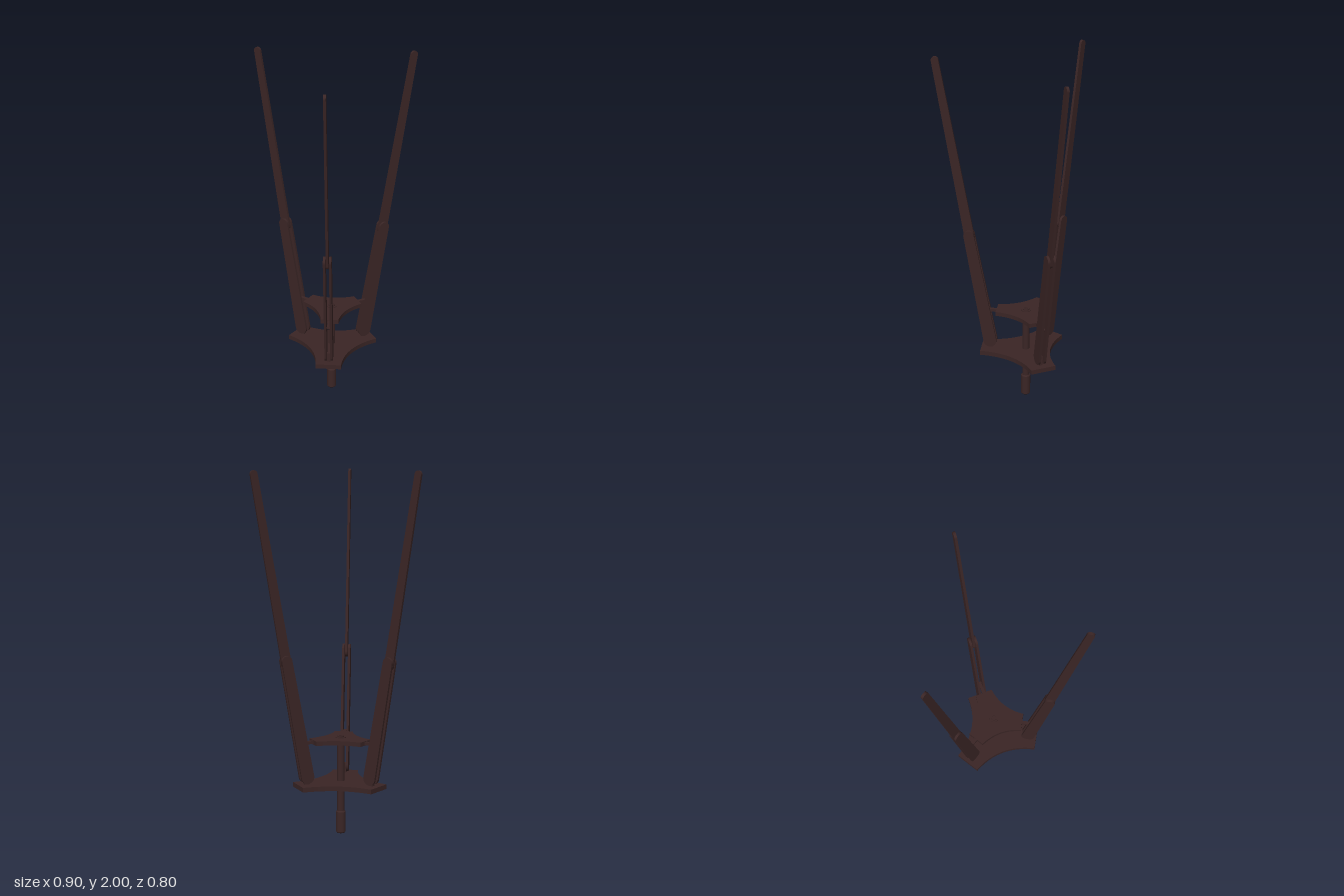
import * as THREE from 'three';

export function createModel() {
  const brown = new THREE.MeshStandardMaterial({ color: 0x3a2525 });
  brown.name = 'dark brown';
  const model = new THREE.Group();
  model.name = 'tripod';
  // Everything radiates from the centre post; one arm points along +z before the small twist
  model.position.set(0.012, 0, -0.115);
  model.rotation.y = 0.05;

  const add = (parent, name, geometry, x = 0, y = 0, z = 0) => {
    const mesh = new THREE.Mesh(geometry, brown);
    mesh.name = name;
    mesh.position.set(x, y, z);
    parent.add(mesh);
    return mesh;
  };

  // Three-pointed plate with flat tips and concave sides
  function plate(tip, half, control, thick) {
    const s = new THREE.Shape();
    const polar = (a, r, w) => [r * Math.cos(a) - w * Math.sin(a), r * Math.sin(a) + w * Math.cos(a)];
    for (let i = 0; i < 3; i++) {
      const a = -Math.PI / 2 + i * Math.PI * 2 / 3;
      if (i === 0) s.moveTo(...polar(a, tip, -half));
      s.lineTo(...polar(a, tip, half));
      s.quadraticCurveTo(...polar(a + Math.PI / 3, control, 0), ...polar(a + Math.PI * 2 / 3, tip, -half));
    }
    const g = new THREE.ExtrudeGeometry(s, { depth: thick, bevelEnabled: false, curveSegments: 20 });
    return g.rotateX(-Math.PI / 2);
  }
  add(model, 'basePlate', plate(0.255, 0.0725, 0.09, 0.026), 0, 0.27, 0);
  add(model, 'upperPlate', plate(0.167, 0.05, 0.073, 0.024), 0, 0.515, 0);

  // Centre post: bevelled handle, shaft and collars in one profile
  const profile = [
    [0, 0], [0.022, 0], [0.027, 0.006], [0.027, 0.12], [0.022, 0.126], [0.02, 0.126],
    [0.02, 0.252], [0.026, 0.252], [0.026, 0.27], [0.02, 0.27], [0.02, 0.505],
    [0.028, 0.505], [0.028, 0.543], [0.018, 0.543], [0.018, 0.55], [0.01, 0.55], [0.01, 0.544], [0, 0.544],
  ];
  for (let i = 0; i < profile.length - 1; i++) {
    const pair = [profile[i], profile[i + 1]].map(([x, y]) => new THREE.Vector2(x, y));
    add(model, 'centrePost', new THREE.LatheGeometry(pair, 24));
  }

  // Flat tapered bar with round ends, leaning outward from (z0, y0) to (z1, y1)
  function bar(z0, y0, r0, z1, y1, r1, thick) {
    const length = Math.hypot(z1 - z0, y1 - y0);
    const s = new THREE.Shape();
    s.absarc(0, length, r1, 0, Math.PI, false);
    s.absarc(0, 0, r0, Math.PI, Math.PI * 2, false);
    s.closePath();
    const g = new THREE.ExtrudeGeometry(s, { depth: thick, bevelEnabled: false, curveSegments: 12 });
    g.translate(0, 0, -thick / 2);
    g.rotateZ(-Math.atan2(z1 - z0, y1 - y0));
    return g.rotateY(-Math.PI / 2).translate(0, y0, z0);
  }

  for (let i = 0; i < 3; i++) {
    const leg = new THREE.Group();
    leg.name = 'leg' + (i + 1);
    leg.rotation.y = i * Math.PI * 2 / 3;
    model.add(leg);
    // Paired lower bars with the single upper bar held between them
    for (const side of [-1, 1]) {
      add(leg, 'lowerBar', bar(0.205, 0.338, 0.037, 0.322, 0.985, 0.029, 0.013), side * 0.0165);
    }
    add(leg, 'upperBar', bar(0.319, 0.97, 0.028, 0.495, 1.98, 0.02, 0.014));
    // Hinge lug on the base and link to the upper plate
    add(leg, 'hingeLug', new THREE.BoxGeometry(0.02, 0.06, 0.03), 0, 0.32, 0.205);
    const pin = new THREE.CylinderGeometry(0.008, 0.008, 0.04, 12).rotateZ(Math.PI / 2);
    add(leg, 'hingePin', pin, 0, 0.338, 0.205);
    add(leg, 'link', new THREE.BoxGeometry(0.018, 0.016, 0.085), 0, 0.527, 0.2);
    add(leg, 'linkPin', pin.clone(), 0, 0.527, 0.238);
  }

  const root = new THREE.Group();
  root.name = 'model';
  root.add(model);
  return root;
}
